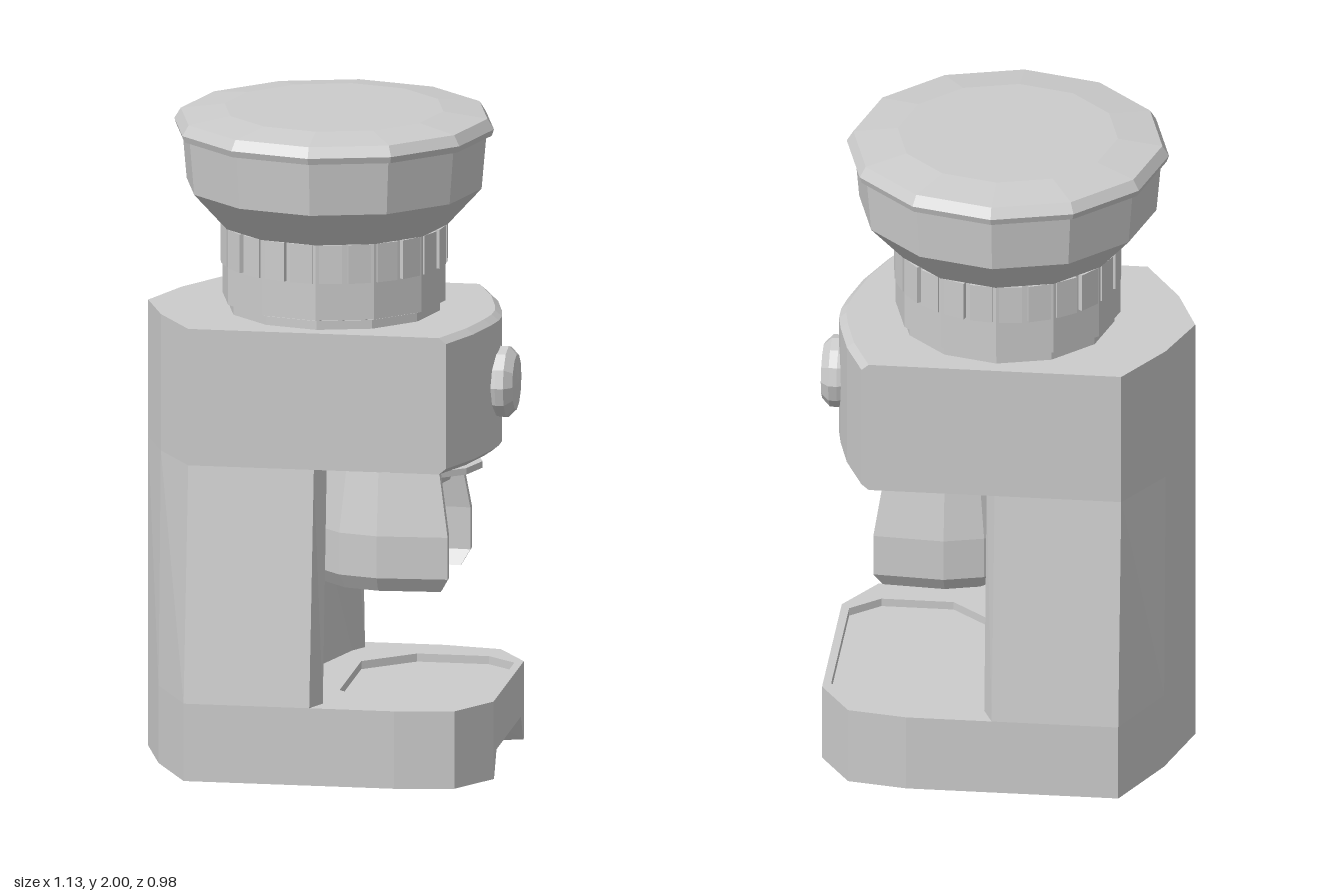
import * as THREE from 'three';

const grey = new THREE.MeshStandardMaterial({ color: 0xcccccc, flatShading: true, side: THREE.DoubleSide });

// Full outline from the half with z >= 0, listed from back to front
function mirrorZ(half) {
  const back = half.filter(([, z]) => z > 0).reverse().map(([x, z]) => [x, -z]);
  return [...half, ...back];
}
const vectors = (pts) => pts.map(([x, z]) => new THREE.Vector2(x, z));
const keep = (x, z) => [x, z];

// Upright prism whose bottom and top outlines are reshaped by a rule
function prism(name, pts, y0, y1, bottom = keep, top = keep, hole = null) {
  const shape = new THREE.Shape(vectors(pts));
  if (hole) shape.holes.push(new THREE.Path(vectors(hole)));
  const g = new THREE.ExtrudeGeometry(shape, { depth: 1, bevelEnabled: false });
  g.rotateX(-Math.PI / 2);
  const p = g.attributes.position;
  for (let i = 0; i < p.count; i++) {
    const up = p.getY(i) > 0.5;
    const [x, z] = (up ? top : bottom)(p.getX(i), p.getZ(i));
    p.setXYZ(i, x, up ? y1 : y0, z);
  }
  g.computeVertexNormals();
  return mesh(name, g);
}
function mesh(name, geometry) {
  const m = new THREE.Mesh(geometry, grey);
  m.name = name;
  return m;
}
function lathe(name, profile, sides = 12) {
  return mesh(name, new THREE.LatheGeometry(vectors(profile), sides));
}
function circle(r, cx, n, zScale = 1) {
  return Array.from({ length: n }, (_, i) => {
    const a = (i / n) * Math.PI * 2;
    return [cx + r * Math.cos(a), r * zScale * Math.sin(a)];
  });
}

export function createModel() {
  const model = new THREE.Group();
  model.name = 'coffeeGrinder';

  // Base: notched foot, solid slab, and a rim around the tray recess
  const baseHalf = [[-0.57, 0], [-0.5, 0.23], [-0.385, 0.46], [0.26, 0.46], [0.44, 0.43], [0.535, 0.28]];
  const base = new THREE.Group();
  base.name = 'base';
  const notch = (grow) => (x, z) =>
    Math.abs(z) < 0.275 && x > 0.2 ? [x > 0.5 ? x : x + 0.04 * grow, z * (1 - 0.17 * grow)] : [x, z];
  const footHalf = [...baseHalf, [0.535, 0.27], [0.4, 0.22], [0.3, 0.12], [0.27, 0]];
  const tray = mirrorZ([[0.05, 0.2], [0.2, 0.33], [0.42, 0.33], [0.51, 0.255]]);
  base.add(
    prism('foot', footHalf.concat(footHalf.slice(1, -1).reverse().map(([x, z]) => [x, -z])), 0, 0.08, keep, notch(1)),
    prism('baseSlab', mirrorZ(baseHalf), 0.08, 0.215),
    prism('trayRim', mirrorZ(baseHalf), 0.215, 0.24, keep, keep, tray),
  );
  model.add(base);

  // Tapered column with a hollow front
  const columnPts = mirrorZ([[-0.57, 0], [-0.5, 0.23], [-0.385, 0.46], [0, 0.46], [0.03, 0.39], [0.0, 0.34]]);
  const closed = [...columnPts];
  closed.splice(6, 0, [-0.1, 0]);
  const narrow = (x, z) => [x, z * 0.815];
  model.add(prism('column', closed, 0.24, 0.96, keep, narrow));

  // Head with softened front edges
  const headPts = mirrorZ([[-0.57, 0], [-0.5, 0.188], [-0.385, 0.375], [0.405, 0.375], [0.465, 0.23], [0.498, 0.1], [0.51, 0.03]]);
  const pulled = (x, z) => (x > 0.3 ? [x - 0.022, z] : [x, z]);
  model.add(
    prism('headLowerEdge', headPts, 0.96, 0.978, pulled, keep),
    prism('head', headPts, 0.978, 1.365),
    prism('headUpperEdge', headPts, 1.365, 1.383, keep, pulled),
  );

  // Front knob
  const knob = lathe('knob', [[0, -0.03], [0.1, -0.03], [0.11, 0.01], [0.11, 0.035], [0.085, 0.06], [0, 0.065]]);
  knob.rotation.z = -Math.PI / 2;
  knob.position.set(0.5, 1.17, 0);
  model.add(knob);

  // Outlet chute under the head
  const chute = lathe('chute', [[0.125, 0.965], [0.125, 0.86], [0.145, 0.86], [0.16, 0.9], [0.16, 0.965]]);
  chute.position.x = 0.21;
  model.add(chute);
  model.add(prism('holderPlate', circle(0.245, 0.21, 12, 0.83), 0.9, 0.92, keep, keep, circle(0.15, 0.21, 12)));

  // Holder shell: a U open at the front, swelling in the middle
  const arc = (r) => Array.from({ length: 7 }, (_, i) => {
    const a = Math.PI / 2 + (i / 6) * Math.PI;
    return [0.17 + r * Math.cos(a), r * Math.sin(a)];
  });
  const shell = [[0.385, 0.225], ...arc(0.24), [0.385, -0.225], [0.385, -0.195], ...arc(0.21).reverse(), [0.385, 0.195]];
  const scaled = (s) => (x, z) => [0.17 + (x - 0.17) * s, z * s];
  const levels = [[0.555, 0.88], [0.6, 1], [0.73, 1], [0.92, 0.86]];
  const holder = new THREE.Group();
  holder.name = 'holder';
  for (let i = 0; i < 3; i++) {
    const [y0, s0] = levels[i], [y1, s1] = levels[i + 1];
    holder.add(prism('holderShell', shell, y0, y1, scaled(s0), scaled(s1)));
  }
  model.add(holder);

  // Adjusting collar with grip ribs
  model.add(lathe('neck', [[0.325, 1.37], [0.325, 1.41]]));
  model.add(lathe('collar', [[0.32, 1.41], [0.342, 1.415], [0.342, 1.65], [0.3, 1.65]]));
  const ribs = new THREE.Group();
  ribs.name = 'gripRibs';
  for (let i = 0; i < 24; i++) {
    const a = ((i + 0.5) / 24) * Math.PI * 2;
    const rib = mesh('gripRib', new THREE.BoxGeometry(0.07, 0.12, 0.03));
    rib.position.set(0.328 * Math.sin(a), 1.59, 0.328 * Math.cos(a));
    rib.rotation.y = a;
    ribs.add(rib);
  }
  model.add(ribs);

  // Bean hopper and lid
  model.add(lathe('hopper', [[0, 1.65], [0.347, 1.65], [0.452, 1.765], [0.467, 1.935]]));
  model.add(lathe('lid', [[0.46, 1.93], [0.483, 1.93], [0.49, 1.95], [0.47, 1.982], [0.335, 2.0], [0, 2.0]]));

  return model;
}
